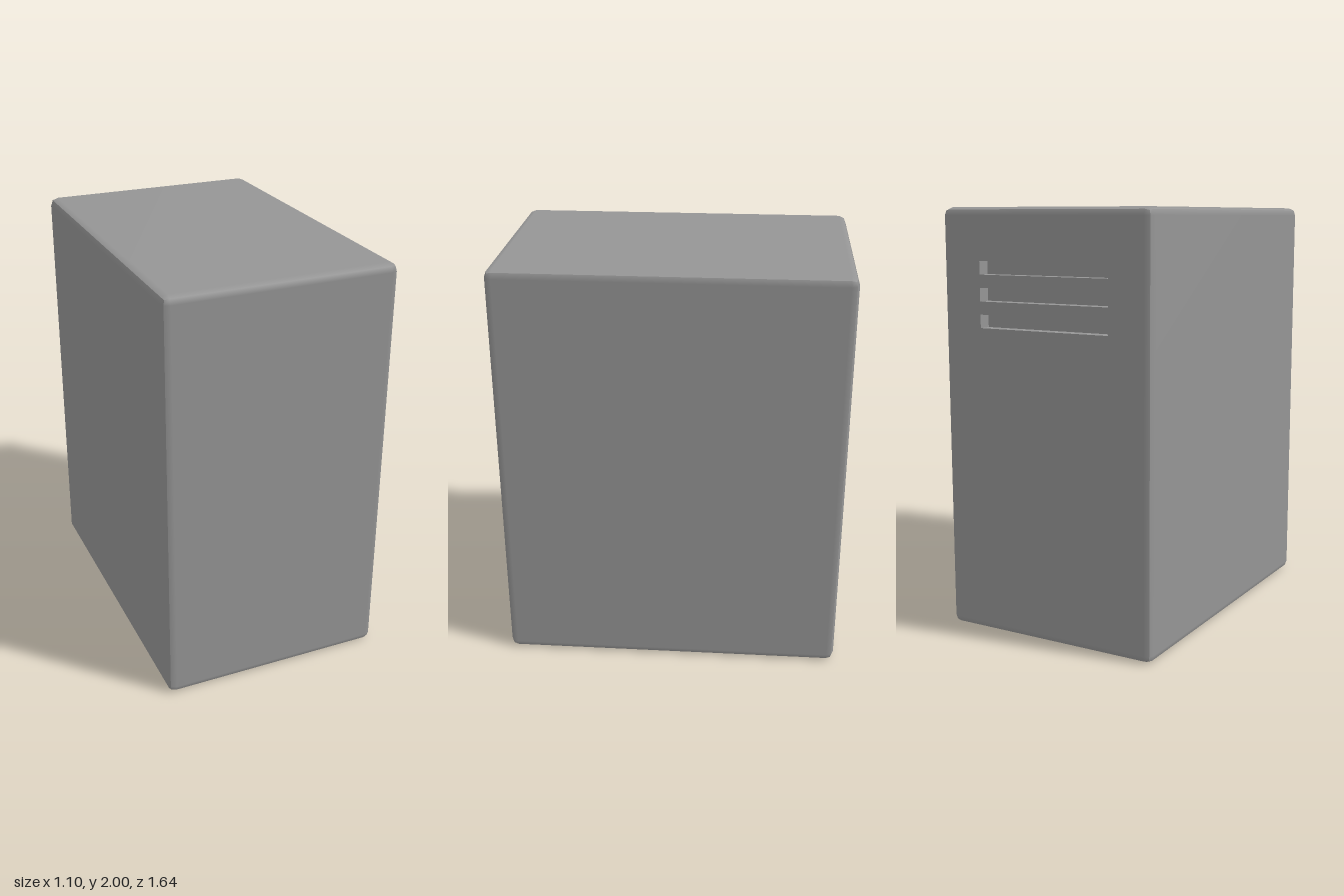
import * as THREE from 'three';

const W = 1.1, H = 2, D = 1.64, R = 0.037;          // casing size and edge bevel
const SLOT = { w: 0.68, h: 0.062, depth: 0.06 };    // vent slot size
const SLOT_Y = [1.728, 1.606, 1.484];               // vent slot centres

function rectangle(Type, w, h, y) {
  const p = new Type();
  p.moveTo(-w / 2, y - h / 2);
  p.lineTo(w / 2, y - h / 2);
  p.lineTo(w / 2, y + h / 2);
  p.lineTo(-w / 2, y + h / 2);
  p.closePath();
  return p;
}

// Box with a two-step bevel: each side is smooth up to a crease in mid-bevel
function bevelledBox() {
  const geo = new THREE.BoxGeometry(W, H, D, 3, 3, 3);
  const pos = geo.attributes.position;
  const half = new THREE.Vector3(W / 2, H / 2, D / 2);
  const p = new THREE.Vector3(), core = new THREE.Vector3(), dir = new THREE.Vector3();
  for (let i = 0; i < pos.count; i++) {
    p.fromBufferAttribute(pos, i);
    for (const a of ['x', 'y', 'z']) {
      const sign = Math.sign(p[a]);
      core[a] = sign * (half[a] - R);
      dir[a] = Math.abs(p[a]) > half[a] * 0.9 ? sign : 0;
    }
    p.copy(core).addScaledVector(dir.normalize(), R);
    pos.setXYZ(i, p.x, p.y, p.z);
  }
  geo.computeVertexNormals();
  return geo;
}

// Bevelled box without the flat middle of its back face
function openCasing() {
  const geo = bevelledBox();
  const pos = geo.attributes.position;
  const all = Array.from(geo.index.array);
  const kept = [];
  for (let i = 0; i < all.length; i += 3) {
    const triangle = all.slice(i, i + 3);
    if (!triangle.every((k) => pos.getZ(k) < -D / 2 + 1e-4)) kept.push(...triangle);
  }
  geo.clearGroups();
  geo.setIndex(kept);
  return geo;
}

// Inward-facing box, open towards the back
function recess() {
  const box = new THREE.BoxGeometry(SLOT.w, SLOT.h, SLOT.depth);
  const inward = Array.from(box.index.array).slice(0, 30).reverse();
  box.clearGroups();
  box.setIndex(inward);
  box.computeVertexNormals();
  return box;
}

export function createModel() {
  const model = new THREE.Group();
  model.name = 'cabinet';
  const material = new THREE.MeshStandardMaterial({ color: 0x959595 });
  const add = (name, geometry, y, z) => {
    const mesh = new THREE.Mesh(geometry, material);
    mesh.name = name;
    mesh.position.set(0, y, z);
    model.add(mesh);
  };

  add('casing', openCasing(), H / 2, 0);

  // Back panel with the vent openings cut out
  const panel = rectangle(THREE.Shape, W - 2 * R, H - 2 * R, H / 2);
  panel.holes = SLOT_Y.map((y) => rectangle(THREE.Path, SLOT.w, SLOT.h, y));
  add('backPanel', new THREE.ShapeGeometry(panel).rotateY(Math.PI), 0, -D / 2);

  // Vent slots sunk into the back
  SLOT_Y.forEach((y, i) => add(`ventSlot${i + 1}`, recess(), y, -D / 2 + SLOT.depth / 2));

  return model;
}
